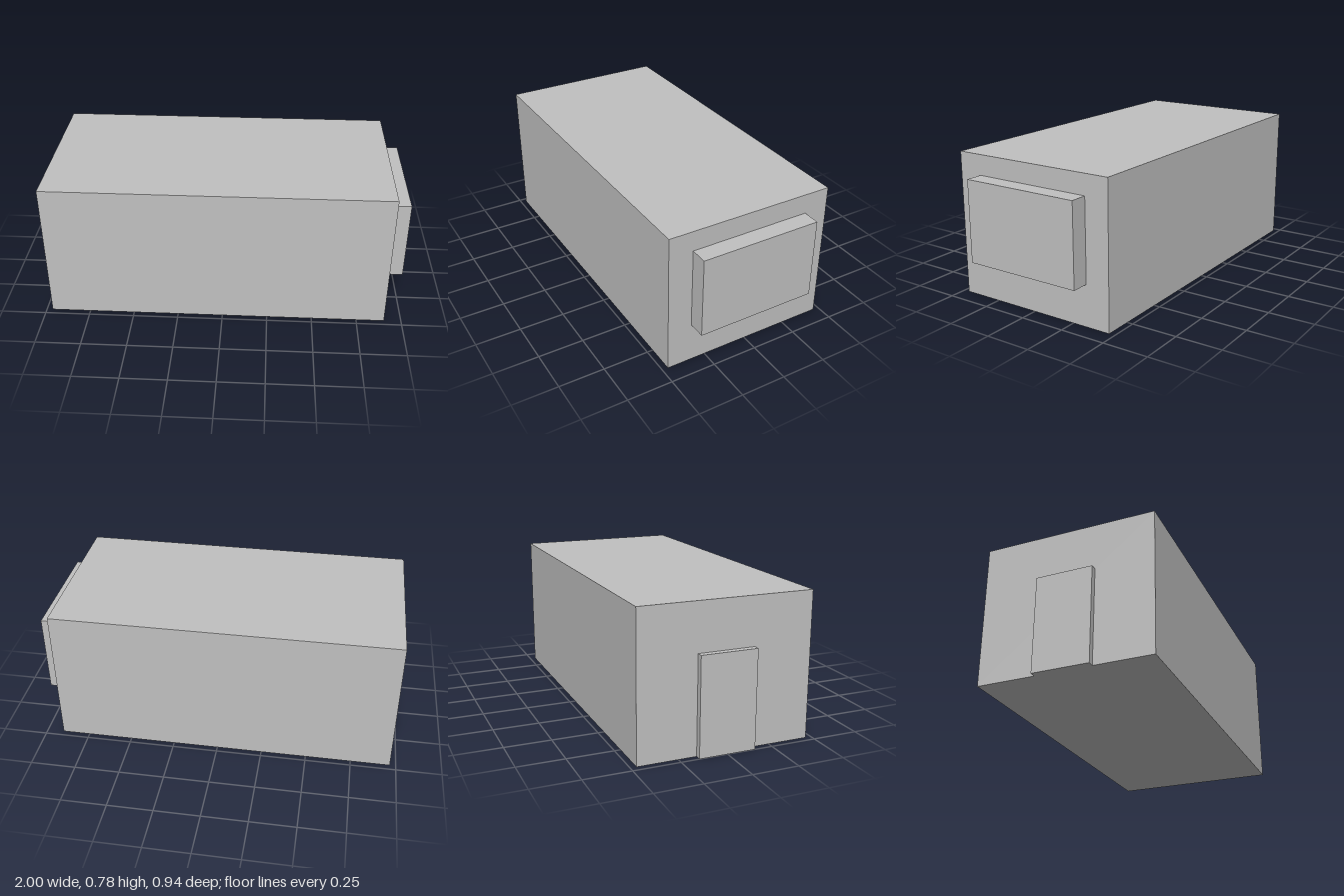
import * as THREE from 'three';

export function createModel() {
  const model = new THREE.Group();
  model.name = 'cabin';
  const grey = new THREE.MeshStandardMaterial({ color: 0xc0c0c0 });
  grey.name = 'light grey';

  // Box given by its x and y ranges and its depth, centred on z = 0
  function addBox(name, x0, x1, y0, y1, depth) {
    const mesh = new THREE.Mesh(new THREE.BoxGeometry(x1 - x0, y1 - y0, depth), grey);
    mesh.name = name;
    mesh.position.set((x0 + x1) / 2, (y0 + y1) / 2, 0);
    model.add(mesh);
  }

  // Main block
  addBox('body', -0.967, 0.905, 0, 0.782, 0.936);
  // Wide raised panel on the left end
  addBox('windowPanel', 0.905, 1, 0.225, 0.672, 0.668);
  // Thin door standing on the ground at the right end
  addBox('door', -1, -0.967, 0, 0.525, 0.306);

  return model;
}
